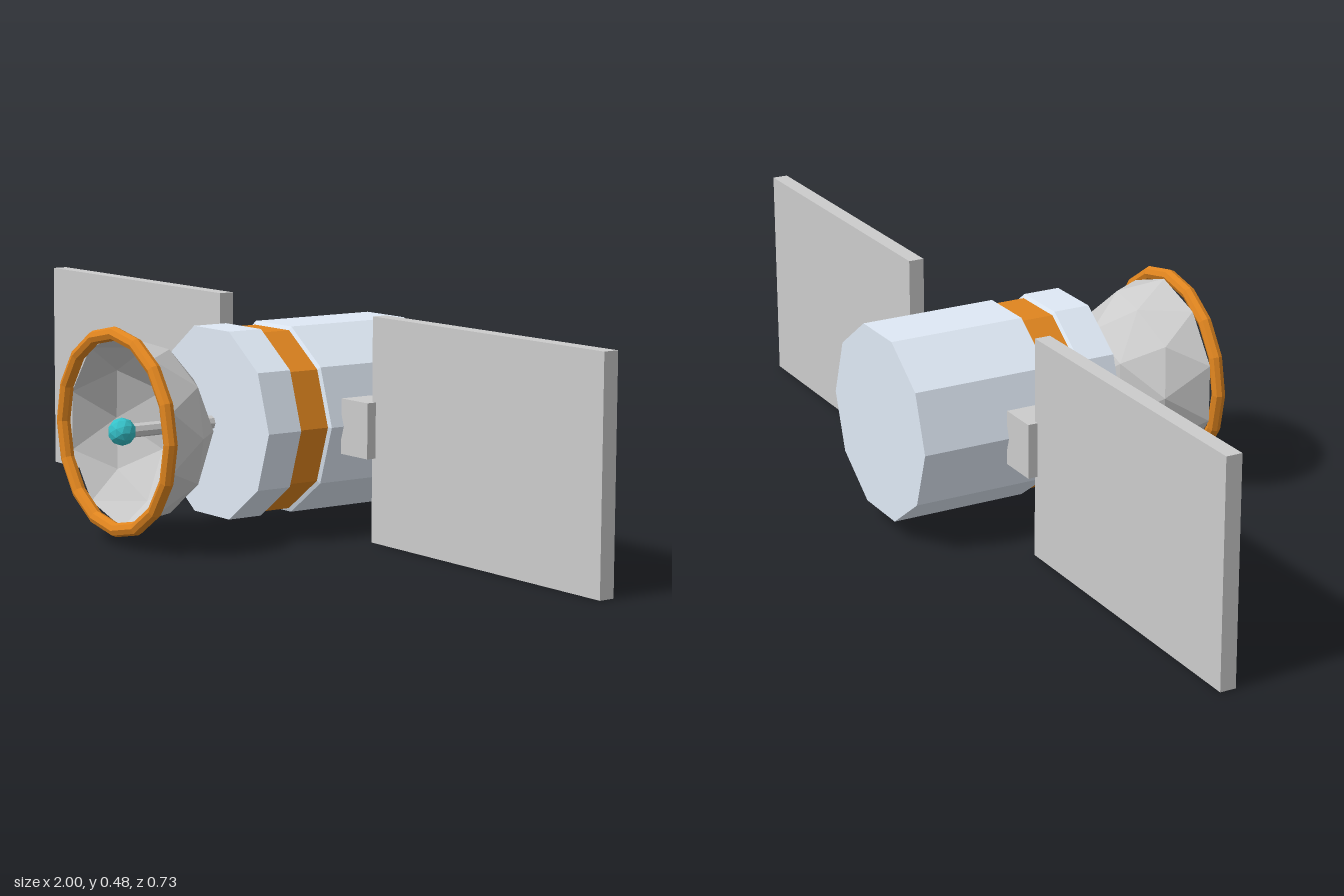
import * as THREE from 'three';

const AXIS_Y = 0.241;

const mat = (color, side = THREE.FrontSide) =>
  new THREE.MeshStandardMaterial({ color, flatShading: true, side });

const GREY = mat(0xcccccc);
const GREY_OPEN = mat(0xcccccc, THREE.DoubleSide);
const HULL = mat(0xdfe9f5);
const ORANGE = mat(0xe0851f);
const CYAN = mat(0x35c0c8);

function add(parent, name, geometry, material, x = 0, y = 0, z = 0) {
  const mesh = new THREE.Mesh(geometry, material);
  mesh.name = name;
  mesh.position.set(x, y, z);
  parent.add(mesh);
  return mesh;
}

// Ten-sided turned section along z; profile is [radius, z] from back to front
function section(profile) {
  const points = profile.map(([r, z]) => new THREE.Vector2(r, z));
  return new THREE.LatheGeometry(points, 10, Math.PI / 2).rotateX(Math.PI / 2);
}

// Half of a subdivided icosahedron with its pole toward -z
function dishGeometry(radius, depth) {
  const ball = new THREE.IcosahedronGeometry(1, 1)
    .rotateX(Math.atan(2 / (1 + Math.sqrt(5))))
    .rotateY(Math.PI)
    .rotateZ(Math.PI / 2);
  const p = ball.attributes.position;
  const kept = [];
  for (let i = 0; i < p.count; i += 3) {
    if (p.getZ(i) + p.getZ(i + 1) + p.getZ(i + 2) > -0.01) continue;
    for (let k = i; k < i + 3; k++) kept.push(p.getX(k), p.getY(k), p.getZ(k));
  }
  const dish = new THREE.BufferGeometry();
  dish.setAttribute('position', new THREE.Float32BufferAttribute(kept, 3));
  dish.scale(radius, radius, depth);
  dish.computeVertexNormals();
  return dish;
}

export function createModel() {
  const model = new THREE.Group();
  model.name = 'satellite';

  // Hull with a recessed coloured band
  const R = 0.212, r = 0.2035;
  const hull = new THREE.Group();
  hull.name = 'hull';
  hull.position.y = AXIS_Y;
  model.add(hull);
  add(hull, 'rearHull', section([[0, -0.362], [R, -0.362], [R, -0.056], [r, -0.052]]), HULL);
  add(hull, 'hullBand', section([[r, -0.052], [r, 0.02]]), ORANGE);
  add(hull, 'frontHull', section([[r, 0.02], [R, 0.024], [R, 0.107], [0, 0.107]]), HULL);

  // Dish antenna: bowl, rim, feed rod and tip
  const antenna = new THREE.Group();
  antenna.name = 'antenna';
  antenna.position.y = AXIS_Y;
  model.add(antenna);
  add(antenna, 'dish', dishGeometry(0.204, 0.189), GREY_OPEN, 0, 0, 0.336);
  add(antenna, 'dishRim', new THREE.TorusGeometry(0.208, 0.015, 8, 16), ORANGE, 0, 0, 0.35);
  add(antenna, 'feedRod',
    new THREE.CylinderGeometry(0.015, 0.015, 0.235, 8).rotateX(Math.PI / 2), GREY, 0, 0, 0.2175);
  add(antenna, 'feedTip', new THREE.IcosahedronGeometry(0.03, 1), CYAN, 0, 0, 0.334);

  // Solar panels and their brackets, mirrored left and right
  for (const [side, s] of [['left', 1], ['right', -1]]) {
    add(model, side + 'Bracket', new THREE.BoxGeometry(0.091, 0.119, 0.079), GREY,
      s * 0.2485, AXIS_Y, -0.127);
    add(model, side + 'SolarPanel', new THREE.BoxGeometry(0.718, 0.481, 0.035), GREY,
      s * 0.641, 0.2405, -0.127);
  }
  return model;
}
